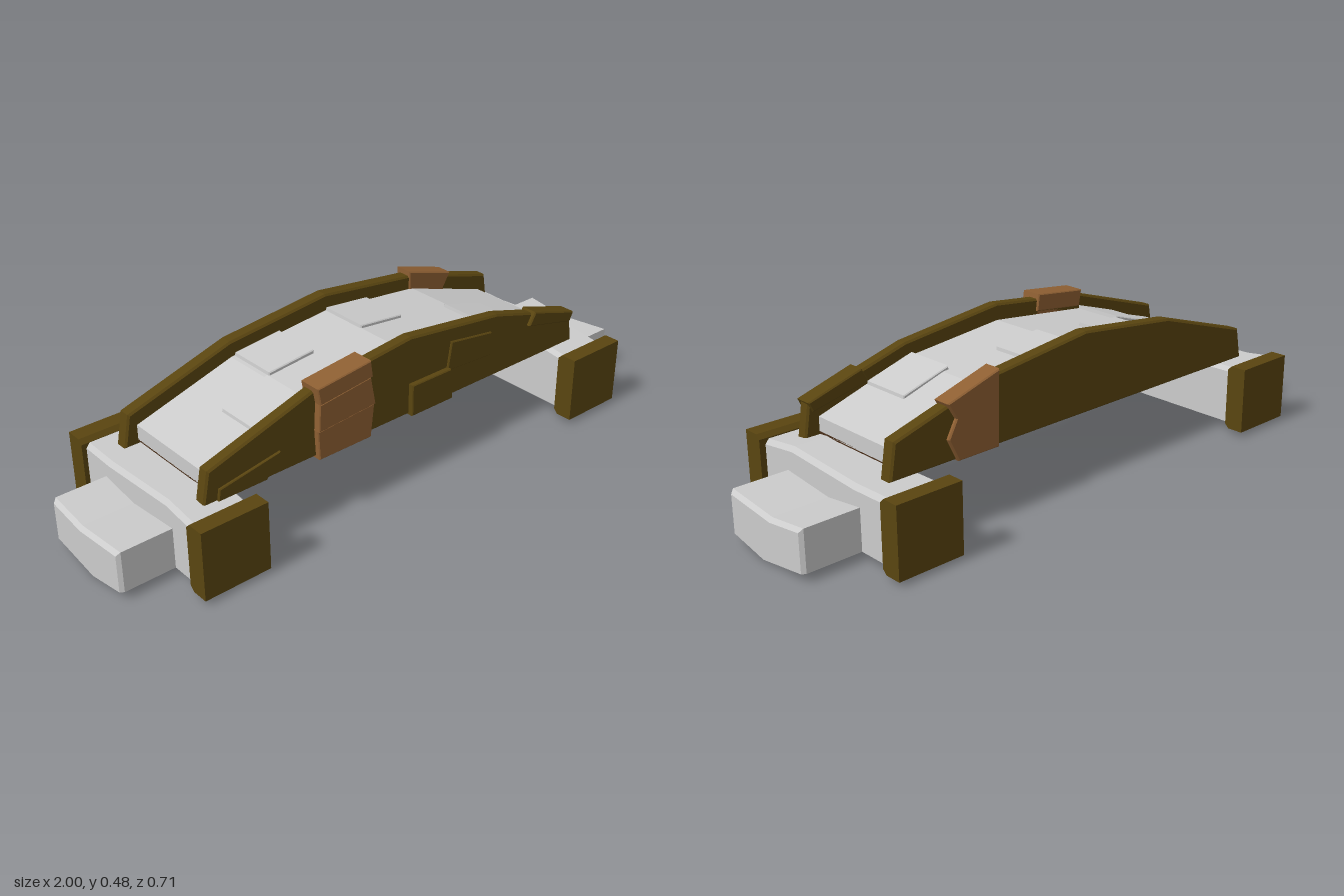
import * as THREE from 'three';

const paint = (color) => new THREE.MeshStandardMaterial({ color, flatShading: true });

export function createModel() {
  const bridge = new THREE.Group();
  const grey = paint(0xcccccc);
  const olive = paint(0x5a4510);
  const copper = paint(0x8f6033);
  const brown = paint(0x4a2f1a);

  const add = (name, geometry, material) => {
    const mesh = new THREE.Mesh(geometry, material);
    mesh.name = name;
    bridge.add(mesh);
    return mesh;
  };

  // Side outline in x,y, extruded from z0 to z1 with a small chamfer
  const slab = (name, points, z0, z1, material, bevel = 0) => {
    const shape = new THREE.Shape(points.map(([x, y]) => new THREE.Vector2(x, y)));
    const geometry = new THREE.ExtrudeGeometry(shape, {
      depth: z1 - z0 - 2 * bevel, bevelEnabled: bevel > 0,
      bevelThickness: bevel, bevelSize: bevel, bevelOffset: -bevel, bevelSegments: 1,
    });
    geometry.translate(0, 0, z0 + bevel);
    return add(name, geometry, material);
  };

  // Solid through z,y rings at rising x; rings run counter-clockwise seen with z right, y up
  const loft = (name, sections, material) => {
    const n = sections[0].ring.length;
    const positions = [];
    const index = [];
    for (const { x, ring } of sections) for (const [z, y] of ring) positions.push(x, y, z);
    for (let s = 0; s < sections.length - 1; s++) {
      for (let i = 0; i < n; i++) {
        const a = s * n + i, b = s * n + (i + 1) % n;
        index.push(a, b, a + n, b, b + n, a + n);
      }
    }
    const cap = (s, flip) => {
      const ring = sections[s].ring.map(([z, y]) => new THREE.Vector2(z, y));
      for (const [a, b, c] of THREE.ShapeUtils.triangulateShape(ring, [])) {
        index.push(s * n + a, s * n + (flip ? b : c), s * n + (flip ? c : b));
      }
    };
    cap(0, false);
    cap(sections.length - 1, true);
    // Reverse all windings so that the surface faces outward
    for (let i = 0; i < index.length; i += 3) {
      [index[i + 1], index[i + 2]] = [index[i + 2], index[i + 1]];
    }
    const geometry = new THREE.BufferGeometry();
    geometry.setAttribute('position', new THREE.Float32BufferAttribute(positions, 3));
    geometry.setIndex(index);
    const flat = geometry.toNonIndexed();
    flat.computeVertexNormals();
    return add(name, flat, material);
  };

  // Arched deck and its underside
  const deckTop = [[-0.71, 0.285], [-0.37, 0.387], [0, 0.425], [0.37, 0.387], [0.69, 0.285]];
  slab('deck', [[-0.71, 0.236], [0.69, 0.236], ...[...deckTop].reverse()], -0.172, 0.185, grey);
  const box = (name, x0, x1, y0, y1, z0, z1, material) => {
    const geometry = new THREE.BoxGeometry(x1 - x0, y1 - y0, z1 - z0);
    geometry.translate((x0 + x1) / 2, (y0 + y1) / 2, (z0 + z1) / 2);
    return add(name, geometry, material);
  };
  box('underside', -0.71, 0.69, 0.232, 0.24, -0.172, 0.185, brown);
  box('undersidePanel', 0.02, 0.66, 0.229, 0.236, 0, 0.18, grey);
  box('undersidePanel', -0.68, -0.33, 0.229, 0.236, -0.17, 0, grey);

  // Raised paving plates following the arch
  const deckHeight = (x) => {
    let i = 0;
    while (i < deckTop.length - 2 && x > deckTop[i + 1][0]) i++;
    const [x0, y0] = deckTop[i], [x1, y1] = deckTop[i + 1];
    return y0 + (y1 - y0) * (x - x0) / (x1 - x0);
  };
  for (const [x0, x1, z0, z1] of [
    [-0.535, -0.365, 0.005, 0.18], [-0.36, -0.185, -0.168, 0.002],
    [-0.005, 0.17, -0.168, 0.002], [0.345, 0.52, 0.005, 0.18],
  ]) {
    const ya = deckHeight(x0), yb = deckHeight(x1);
    slab('pavingPlate', [[x0, ya - 0.02], [x1, yb - 0.02], [x1 - 0.004, yb + 0.011], [x0 + 0.004, ya + 0.011]],
      z0, z1, grey, 0.003);
  }

  // Parapet walls
  const wall = [[-0.755, 0.22], [0.74, 0.22], [0.722, 0.332], [0.37, 0.433],
    [0, 0.478], [-0.37, 0.437], [-0.735, 0.325]];
  slab('frontWall', wall, 0.18, 0.222, olive, 0.006);
  slab('backWall', wall, -0.215, -0.168, olive, 0.006);

  // Cladding on the front wall
  slab('wallPatch', [[-0.71, 0.222], [-0.545, 0.222], [-0.495, 0.295], [-0.705, 0.26]], 0.2, 0.23, olive, 0.003);
  slab('wallPatch', [[-0.005, 0.22], [0.165, 0.22], [0.155, 0.325], [-0.005, 0.325]], 0.2, 0.24, olive, 0.003);
  slab('wallPatch', [[0.15, 0.315], [0.34, 0.305], [0.34, 0.385], [0.165, 0.41]], 0.2, 0.229, olive, 0.003);
  slab('wallCap', [[0.51, 0.35], [0.71, 0.303], [0.725, 0.335], [0.535, 0.393]], 0.176, 0.235, olive, 0.004);

  // Copper band of three plates over the front wall
  slab('copperBand', [[-0.365, 0.215], [-0.17, 0.215], [-0.157, 0.325], [-0.37, 0.31]], 0.18, 0.24, copper, 0.003);
  slab('copperBand', [[-0.37, 0.31], [-0.157, 0.325], [-0.175, 0.42], [-0.365, 0.398]], 0.18, 0.245, copper, 0.003);
  slab('copperBand', [[-0.365, 0.398], [-0.17, 0.42], [-0.178, 0.475], [-0.375, 0.453]], 0.172, 0.248, copper, 0.003);
  // Copper band with a notched edge on the back wall
  slab('copperBand', [[0.36, 0.218], [0.51, 0.218], [0.545, 0.29], [0.515, 0.345], [0.545, 0.395], [0.355, 0.452]],
    -0.226, -0.164, copper, 0.004);

  // End supports: cross beam, four corner posts and an outer step
  const ends = [
    { side: 1, inner: 0.63, outer: 0.81, postX: 0.72, postZ: [0.315, -0.322], halfZ: 0.285 },
    { side: -1, inner: 0.64, outer: 0.825, postX: 0.73, postZ: [0.298, -0.304], halfZ: 0.275 },
  ];
  for (const { side, inner, outer, postX, postZ, halfZ } of ends) {
    const ordered = (sections) => (side > 0 ? sections : sections.reverse())
      .map(({ x, ring }) => ({ x: x * side, ring }));

    const beam = (drop) => [[-halfZ, 0.027], [halfZ, 0.027], [halfZ, 0.217 - drop],
      [0.145, 0.235 - drop], [-0.145, 0.217 - drop], [-halfZ, 0.22 - drop]];
    loft('crossBeam', ordered([
      { x: inner, ring: beam(0.014) }, { x: inner + 0.012, ring: beam(0) },
      { x: outer - 0.012, ring: beam(0) }, { x: outer, ring: beam(0.015) },
    ]), grey);

    // Posts taper slightly where they meet the beam
    for (const z of postZ) {
      const out = Math.sign(z);
      const post = (x, inset) => {
        const a = z - out * 0.034, b = z - out * 0.02, c = z + out * 0.034;
        const ring = [[a, 0.029], [b, 0.015 + inset], [c, 0.015 + inset],
          [c, 0.235 - inset], [b, 0.235 - inset], [a, 0.221]];
        return { x, ring: out > 0 ? ring : ring.reverse() };
      };
      loft('cornerPost', ordered([post(postX - 0.11, 0), post(postX + 0.11, 0)]), olive);
    }

    // Outer step with a dipped top and a keeled base
    const step = (w, top, keel) => [[-w, 0.027], [0.02, keel], [w, 0.027],
      [w, 0.146 + top], [-0.025, 0.127 + top], [-w, 0.146 + top]];
    loft('outerStep', ordered([
      { x: outer - 0.05, ring: step(0.17, 0.012, 0.018) },
      { x: 0.988, ring: step(0.17, 0.012, 0.002) },
      { x: 1, ring: step(0.162, 0, 0) },
    ]), grey);
  }

  return bridge;
}
